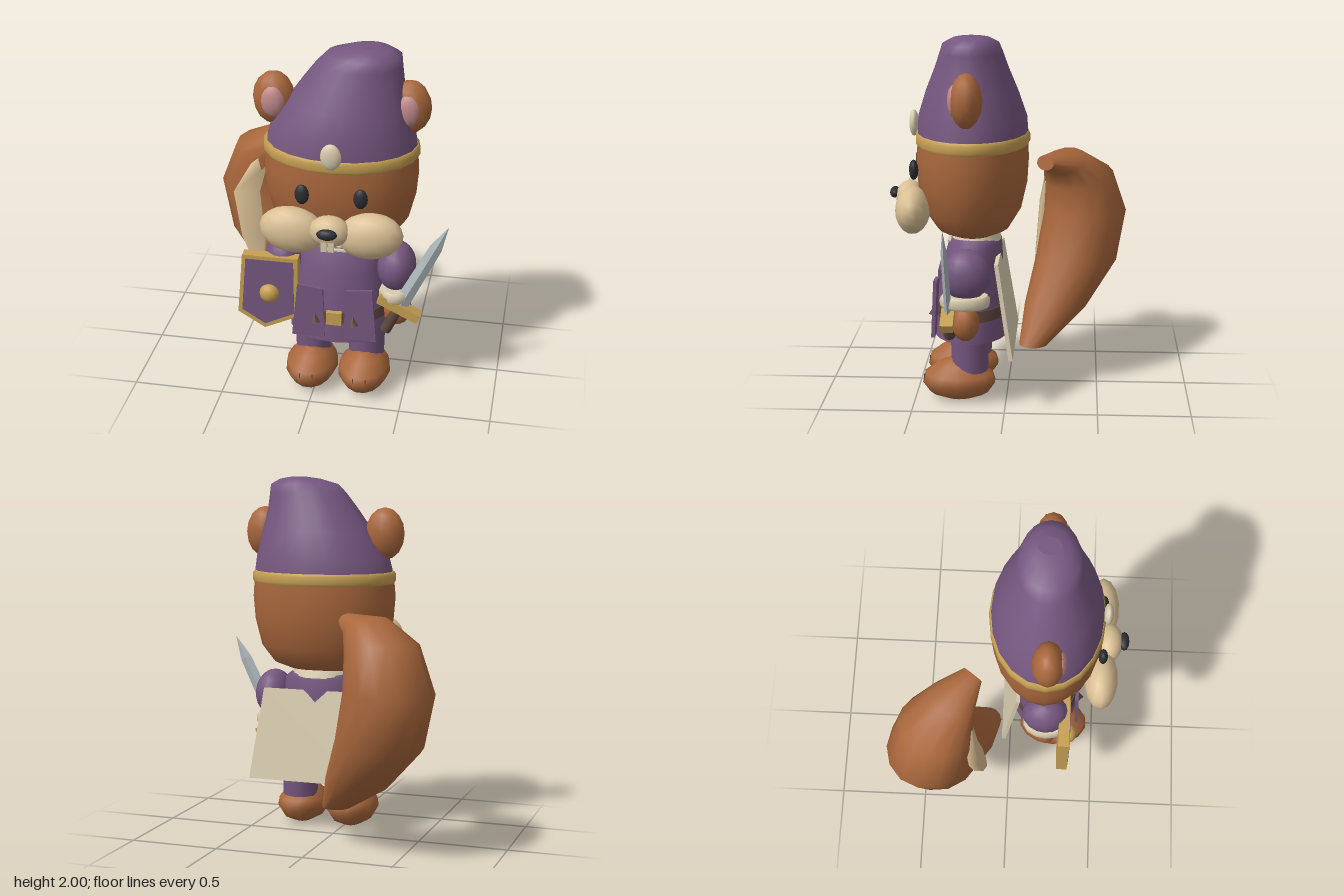
import * as THREE from 'three';

const mat = (name, color) => Object.assign(new THREE.MeshStandardMaterial({ color }), { name });

export function createModel() {
  const fur = mat('brown fur', 0xa9673c), purple = mat('purple cloth', 0x75567f), cream = mat('cream fur', 0xd9bf94),
    linen = mat('pale linen', 0xd9cdb0), gold = mat('gold', 0xc6a052), pink = mat('pink', 0xc28a8c),
    black = mat('black', 0x2b2d33), steel = mat('steel', 0xb0babd), leather = mat('dark leather', 0x5c463c);
  const model = new THREE.Group();
  const CX = 0.12; // body centre line

  const add = (name, geo, material, x = 0, y = 0, z = 0, parent = model) => {
    const m = new THREE.Mesh(geo, material);
    m.name = name;
    m.position.set(x, y, z);
    parent.add(m);
    return m;
  };
  const ball = (name, material, x, y, z, rx, ry, rz, seg = 16) => {
    const m = add(name, new THREE.SphereGeometry(1, seg, Math.round(seg * 0.7)), material, x, y, z);
    m.scale.set(rx, ry, rz);
    return m;
  };
  const box = (name, material, x, y, z, w, h, d, parent) =>
    add(name, new THREE.BoxGeometry(w, h, d), material, x, y, z, parent);
  const plate = (points, depth) => new THREE.ExtrudeGeometry(
    new THREE.Shape(points.map(p => new THREE.Vector2(...p))), { depth, bevelEnabled: false });

  // Smooth skin over closed rings of points, with hard-edged end caps
  const loft = rings => {
    const n = rings[0].length, pos = [], idx = [];
    rings.forEach(r => r.forEach(p => pos.push(p.x, p.y, p.z)));
    for (let k = 0; k < rings.length - 1; k++) for (let i = 0; i < n; i++) {
      const j = (i + 1) % n, a = k * n + i, b = k * n + j;
      idx.push(a, a + n, b, b, a + n, b + n);
    }
    [rings[0], rings[rings.length - 1]].forEach((r, top) => {
      const base = pos.length / 3;
      const c = r.reduce((s, p) => s.add(p), new THREE.Vector3()).divideScalar(n);
      [c, ...r].forEach(p => pos.push(p.x, p.y, p.z));
      for (let i = 0; i < n; i++) {
        const a = base + 1 + i, b = base + 1 + (i + 1) % n;
        idx.push(base, top ? b : a, top ? a : b);
      }
    });
    const g = new THREE.BufferGeometry();
    g.setAttribute('position', new THREE.Float32BufferAttribute(pos, 3));
    g.setIndex(idx);
    g.computeVertexNormals();
    return g;
  };
  const ring = (center, u, v, n) => Array.from({ length: n }, (_, i) => {
    const a = i / n * Math.PI * 2;
    return center.clone().addScaledVector(u, Math.cos(a)).addScaledVector(v, Math.sin(a));
  });
  // Stack of level ellipses given as [y, cx, rx, cz, rz]
  const stack = (rows, n = 20) => loft(rows.map(([y, cx, rx, cz, rz]) => ring(
    new THREE.Vector3(cx, y, cz), new THREE.Vector3(rx, 0, 0), new THREE.Vector3(0, 0, rz), n)));

  // Head, hat and hat band
  add('head', stack([[0.92, CX, 0.19, 0.185, 0.13], [0.955, CX, 0.29, 0.185, 0.2], [1.05, CX, 0.365, 0.187, 0.26],
    [1.2, CX, 0.403, 0.19, 0.297], [1.33, CX, 0.414, 0.19, 0.305], [1.45, CX, 0.405, 0.187, 0.297]]), fur);
  add('hat', stack([[1.44, CX, 0.407, 0.187, 0.3], [1.56, 0.127, 0.383, 0.187, 0.293], [1.7, 0.157, 0.32, 0.187, 0.247],
    [1.83, 0.187, 0.258, 0.186, 0.195], [1.91, 0.213, 0.222, 0.185, 0.168], [1.96, 0.235, 0.195, 0.185, 0.15],
    [1.99, 0.26, 0.115, 0.182, 0.1], [2.0, 0.27, 0.05, 0.18, 0.06]]), purple);
  add('hatBand', stack([[1.41, CX, 0.407, 0.187, 0.3], [1.425, CX, 0.417, 0.187, 0.309],
    [1.462, CX, 0.417, 0.187, 0.309], [1.477, CX, 0.405, 0.187, 0.299]]), gold);
  ball('hatGem', linen, CX, 1.515, 0.505, 0.055, 0.072, 0.026, 12);

  // Paired parts, mirrored about the centre line
  for (const s of [-1, 1]) {
    const X = d => CX + s * d;
    ball('ear', fur, X(0.357), 1.69, 0.195, 0.113, 0.145, 0.085, 12);
    ball('innerEar', pink, X(0.352), 1.69, 0.257, 0.064, 0.085, 0.035, 12);
    ball('eye', black, X(0.153), 1.287, 0.493, 0.038, 0.055, 0.025, 12);
    ball('cheek', cream, X(0.205), 1.08, 0.495, 0.175, 0.127, 0.092, 14).rotation.z = s * 0.12;
    box('tooth', linen, X(0.018), 1.05, 0.592, 0.03, 0.055, 0.02);

    // Arms
    ball('sleeve', purple, X(0.31), 0.755, 0.205, 0.108, 0.14, 0.132);
    add('cuff', stack([[0.58, X(0.315), 0.088, 0.212, 0.122], [0.595, X(0.315), 0.098, 0.212, 0.135],
      [0.628, X(0.315), 0.098, 0.212, 0.135], [0.645, X(0.315), 0.088, 0.212, 0.122]], 14), linen);
    ball('hand', fur, X(0.313), 0.49, 0.21, 0.09, 0.1, 0.075, 12);

    // Legs and feet
    add('leg', new THREE.CylinderGeometry(0.105, 0.1, 0.22, 16), purple, X(0.15), 0.28, 0.2);
    add('foot', stack([[0.005, X(0.149), 0.045, 0.26, 0.07], [0.04, X(0.149), 0.11, 0.26, 0.16],
      [0.1, X(0.149), 0.146, 0.26, 0.203], [0.15, X(0.149), 0.138, 0.262, 0.19],
      [0.205, X(0.149), 0.09, 0.265, 0.115], [0.235, X(0.149), 0.035, 0.27, 0.04]], 14), fur);
    for (const t of [-0.035, 0.035])
      box('toeLine', leather, X(0.149) + t, 0.125, 0.445, 0.006, 0.045, 0.012);

    // Skirt flap with a small dark stud
    const flap = add('skirtFlap', plate([[-0.098, -0.155], [0.085, -0.155], [0.07, 0.14], [-0.07, 0.155]], 0.02),
      purple, X(0.135), 0.53, 0.378);
    flap.scale.x = 1;
    if (s > 0) flap.geometry = plate([[-0.085, -0.155], [0.098, -0.155], [0.07, 0.155], [-0.07, 0.14]], 0.02);
    flap.rotation.x = -0.04;
    add('stud', new THREE.ConeGeometry(0.034, 0.055, 4), leather, X(0.105), 0.495, 0.395);
  }
  ball('muzzle', cream, CX, 1.11, 0.535, 0.108, 0.085, 0.075, 14);
  ball('nose', black, CX, 1.13, 0.615, 0.055, 0.03, 0.028, 12);

  // Tunic, collar and belt
  add('tunic', stack([[0.35, 0.118, 0.278, 0.2, 0.208], [0.45, 0.118, 0.272, 0.2, 0.2], [0.6, 0.118, 0.25, 0.2, 0.182],
    [0.75, 0.118, 0.235, 0.19, 0.165], [0.87, 0.118, 0.225, 0.175, 0.145], [0.905, 0.118, 0.18, 0.17, 0.12]]), purple);
  add('collar', stack([[0.88, CX, 0.185, 0.17, 0.137], [0.93, CX, 0.17, 0.17, 0.12]]), linen);
  box('collarTrim', linen, CX, 0.878, 0.315, 0.16, 0.01, 0.02);
  add('belt', stack([[0.47, 0.118, 0.275, 0.2, 0.203], [0.53, 0.118, 0.267, 0.2, 0.196]]), leather);
  box('buckle', gold, CX, 0.502, 0.4, 0.085, 0.075, 0.03);

  // Stiff back cape
  const cape = add('cape', plate([[-0.352, -0.26], [0.352, -0.26], [0.29, 0.26], [-0.29, 0.26]], 0.022),
    linen, 0.14, 0.555, -0.005);
  cape.rotation.x = 0.155;

  // Shield: gold body, purple face and round boss
  const outline = [[-0.18, 0.1], [-0.03, 0.01], [0.16, 0.1], [0.158, 0.46], [-0.15, 0.46]];
  add('shieldRim', plate(outline, 0.062), gold, -0.25, 0.35, 0.28);
  add('shieldFace', plate(outline.map(([x, y]) => [-0.01 + (x + 0.01) * 0.86, 0.26 + (y - 0.26) * 0.89]), 0.006),
    purple, -0.25, 0.35, 0.34);
  ball('shieldBoss', gold, -0.25, 0.587, 0.345, 0.056, 0.056, 0.045, 12);

  // Sword, leaning outward
  const sword = new THREE.Group();
  sword.name = 'sword';
  sword.position.set(0.462, 0.55, 0.3);
  sword.rotation.z = -0.453;
  model.add(sword);
  box('guard', gold, 0, 0, 0, 0.245, 0.05, 0.07, sword);
  add('grip', new THREE.CylinderGeometry(0.028, 0.032, 0.17, 8), leather, 0, -0.085, 0, sword);
  const blade = rows => loft(rows.map(([y, w, d]) => ring(
    new THREE.Vector3(0, y, 0), new THREE.Vector3(w, 0, 0), new THREE.Vector3(0, 0, d), 4)));
  const bladeGeo = blade([[0.02, 0.042, 0.02], [0.43, 0.034, 0.016], [0.57, 0.001, 0.001]]).toNonIndexed();
  bladeGeo.computeVertexNormals();
  add('blade', bladeGeo, steel, 0, 0, 0, sword);

  // Tail: rings given as outer (u, y), inner (u, y) and half width, in an upright diagonal plane
  const along = new THREE.Vector3(-0.8, 0, -0.6), across = new THREE.Vector3(0.6, 0, -0.8);
  const at = (u, y) => new THREE.Vector3(-0.02, y, -0.1).addScaledVector(along, u);
  add('tail', loft([
    [0.14, 0.2, -0.02, 0.2, 0.08], [0.44, 0.36, 0.08, 0.41, 0.17], [0.71, 0.6, 0.21, 0.66, 0.225],
    [0.79, 0.9, 0.29, 0.91, 0.235], [0.66, 1.17, 0.29, 1.07, 0.205], [0.43, 1.29, 0.25, 1.16, 0.14],
    [0.17, 1.285, 0.155, 1.2, 0.06],
  ].map(([ou, oy, iu, iy, w]) => {
    const o = at(ou, oy), c = o.clone().add(at(iu, iy)).multiplyScalar(0.5);
    return ring(c, o.sub(c), across.clone().multiplyScalar(w), 14);
  })), fur);

  // Pale crescent along the front of the tail: [y, outer x, inner x, z]
  add('tailStripe', loft([
    [0.42, -0.42, -0.37, -0.135], [0.66, -0.52, -0.385, -0.15], [0.93, -0.567, -0.42, -0.17],
    [1.1, -0.47, -0.375, -0.2], [1.24, -0.31, -0.285, -0.23],
  ].map(([y, xo, xi, z]) => [[xi, z - 0.05], [xi, z + 0.005], [xo, z + 0.015], [xo, z - 0.035]]
    .map(([x, zz]) => new THREE.Vector3(x, y, zz)))), cream);

  return model;
}
